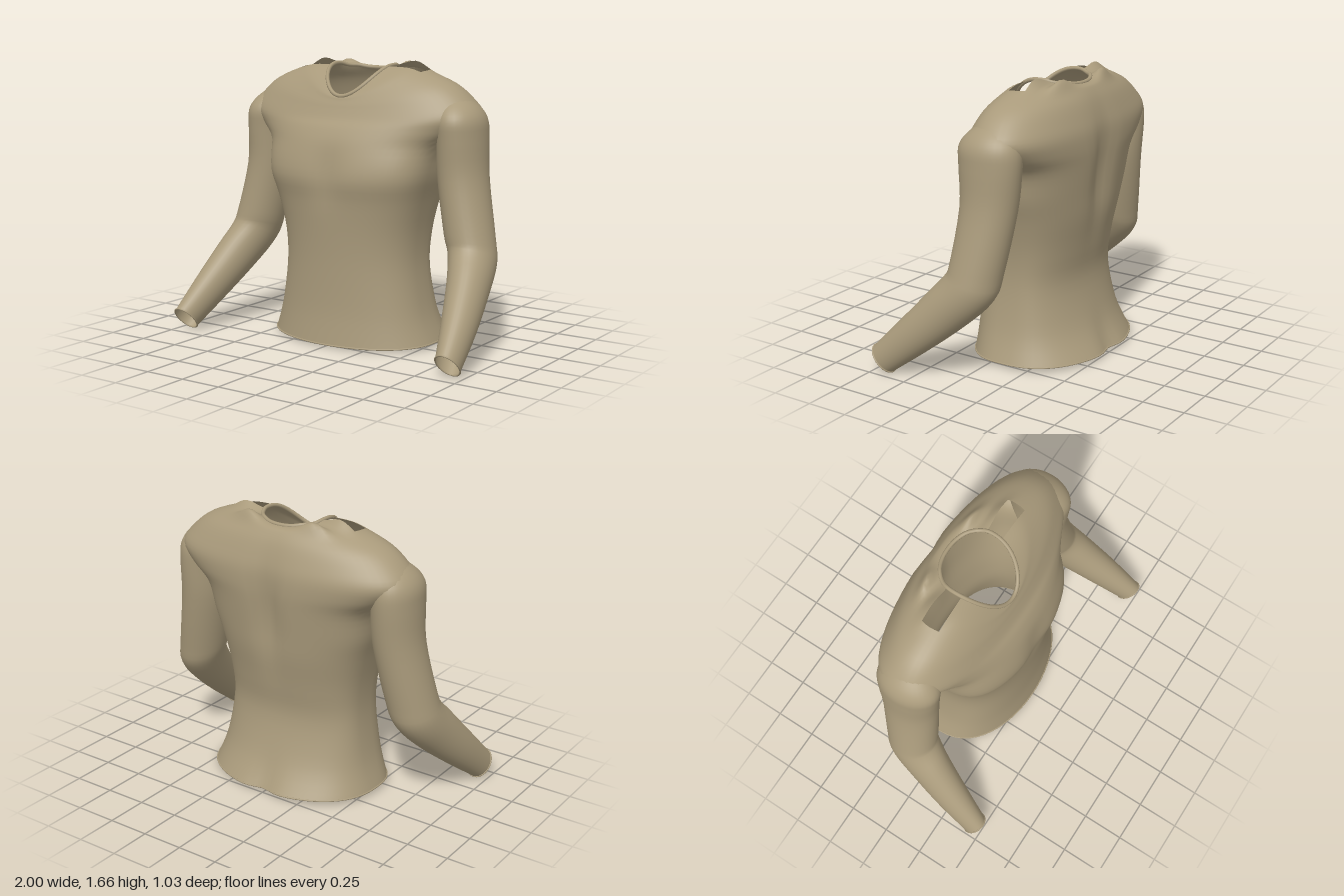
import * as THREE from 'three';

const fabric = new THREE.MeshStandardMaterial({ color: 0xa99a7b, side: THREE.DoubleSide });
fabric.name = 'tan fabric';

const SEG = 64;
const STEPS = 4;
const circle = (n, f) => Array.from({ length: n }, (_, j) => f((j / n) * Math.PI * 2));
const bell = (v, mid, width) => Math.exp(-(((v - mid) / width) ** 2));
const ramp = THREE.MathUtils.smoothstep;

// Catmull-Rom interpolation of every column of a table of sections
function refine(rows, n) {
  const out = [];
  const at = (i) => rows[Math.max(0, Math.min(rows.length - 1, i))];
  for (let i = 0; i < rows.length - 1; i++) {
    for (let k = 0; k < n; k++) {
      const u = k / n;
      out.push(rows[i].map((b, c) => {
        const a = at(i - 1)[c], d = at(i + 1)[c], e = at(i + 2)[c];
        return b + 0.5 * u * (d - a + u * (2 * a - 5 * b + 4 * d - e + u * (3 * (b - d) + e - a)));
      }));
    }
  }
  out.push(rows[rows.length - 1]);
  return out;
}

// Skin over closed loops listed from bottom to top; skip(i, j) leaves holes
function loft(name, loops, skip = () => false) {
  const n = loops[0].length, index = [];
  for (let i = 0; i < loops.length - 1; i++) {
    for (let j = 0; j < n; j++) {
      if (skip(i, j)) continue;
      const a = i * n + j, b = i * n + ((j + 1) % n);
      index.push(a, b, b + n, a, b + n, a + n);
    }
  }
  const g = new THREE.BufferGeometry().setFromPoints(loops.flat());
  g.setIndex(index);
  g.computeVertexNormals();
  const mesh = new THREE.Mesh(g, fabric);
  mesh.name = name;
  return mesh;
}

// Rolled edge along a loop
function rim(name, loop, radius) {
  const curve = new THREE.CatmullRomCurve3(loop, true);
  const mesh = new THREE.Mesh(new THREE.TubeGeometry(curve, 64, radius, 8, true), fabric);
  mesh.name = name;
  return mesh;
}

// Level trunk sections: height, half width, front z, back z
const trunk = [
  [0.028, 0.54, 0.29, -0.525],
  [0.2, 0.48, 0.268, -0.425],
  [0.45, 0.44, 0.262, -0.36],
  [0.65, 0.445, 0.268, -0.382],
  [0.85, 0.485, 0.284, -0.42],
  [1.0, 0.53, 0.305, -0.438],
  [1.17, 0.57, 0.265, -0.458],
  [1.27, 0.69, 0.22, -0.462],
];

// Sagging shoulder sections: side, front and back height, half width, front z, back z
const shoulders = [
  [1.36, 1.325, 1.36, 0.77, 0.18, -0.455],
  [1.455, 1.375, 1.44, 0.71, 0.155, -0.432],
  [1.54, 1.405, 1.52, 0.6, 0.142, -0.4],
  [1.605, 1.43, 1.575, 0.43, 0.13, -0.365],
  [1.628, 1.445, 1.59, 0.33, 0.124, -0.342],
  [1.63, 1.455, 1.6, 0.2, 0.115, -0.31],
];

function torsoLoop([y, yFront, yBack, halfWidth, zFront, zBack]) {
  // Roundness, grooves and shoulder folds follow from the height
  const roundFront = 0.72 - 0.2 * bell(y, 1.02, 0.25) + 0.2 * ramp(y, 1.1, 1.3) + 0.13 * bell(y, 0, 0.15);
  const roundBack = 0.68 + 0.12 * bell(y, 0, 0.3) + 0.25 * ramp(y, 1.2, 1.65);
  const chest = 0.025 * bell(y, 1.02, 0.15);
  const spine = 0.045 * bell(y, 1.12, 0.3) + 0.035 * bell(y, 0, 0.15);
  const fold = ramp(y, 1.5, 1.6) * bell(halfWidth, 0.33, 0.09);
  const sag = 0.014 * bell(y, 0.028, 0.06);
  const zSide = -0.085 - 0.055 * ramp(y, 0.7, 1.3);
  return circle(SEG, (t) => {
    const c = Math.cos(t), m = Math.abs(c), x = halfWidth * Math.sin(t);
    if (c > 0) {
      const z = zSide + (zFront - zSide) * m ** roundFront - chest * bell(x, 0, 0.1);
      return new THREE.Vector3(x, y + (yFront - y) * m * m - sag * m, z);
    }
    const z = zSide + (zBack - zSide) * m ** roundBack + spine * bell(x, 0, 0.08);
    const lift = fold * (0.035 * bell(m, 0.2, 0.15) + 0.05 * bell(m, 0.75, 0.15));
    return new THREE.Vector3(x, y + (yBack - y) * m + lift, z);
  });
}

// Sleeve sections from cuff to shoulder: centre x, y, z, tilt, half width, half depth
const sleeveRows = [
  [0.925, 0.074, 0.447, 0.84, 0.07, 0.092],
  [0.88, 0.25, 0.25, 0.8, 0.1, 0.118],
  [0.83, 0.42, 0.07, 0.73, 0.122, 0.14],
  [0.785, 0.56, -0.06, 0.4, 0.14, 0.157],
  [0.75, 0.68, -0.09, 0.15, 0.146, 0.157],
  [0.685, 1.0, -0.125, 0, 0.142, 0.17],
  [0.675, 1.22, -0.13, 0, 0.138, 0.188],
  [0.667, 1.33, -0.127, 0, 0.138, 0.19],
  [0.65, 1.4, -0.13, 0, 0.118, 0.155],
  [0.62, 1.46, -0.135, 0, 0.08, 0.09],
];

function sleeveLoop([x, y, z, tilt, halfWidth, halfDepth], side) {
  return circle(32, (t) => {
    const d = halfDepth * Math.cos(t);
    return new THREE.Vector3(
      side * x + halfWidth * Math.sin(t), y + d * Math.sin(tilt), z + d * Math.cos(tilt));
  });
}

export function createModel() {
  const shirt = new THREE.Group();
  shirt.name = 'shirt';

  // Body with open hem and neck, and a slit on top of each shoulder
  const rows = [...trunk.map(([y, ...rest]) => [y, y, y, ...rest]), ...shoulders];
  const loops = refine(rows, STEPS).map(torsoLoop);
  const slitStart = (rows.length - 3) * STEPS;
  const nearSide = (j) => [SEG / 4, (3 * SEG) / 4].some((s) => j >= s - 2 && j < s + 2);
  shirt.add(loft('body', loops, (i, j) => i >= slitStart && nearSide(j)));

  // Collar and hem edge
  shirt.add(rim('collar', loops[loops.length - 1], 0.012));
  shirt.add(rim('hem', loops[0], 0.005));

  // Sleeves with rolled cuffs
  for (const side of [1, -1]) {
    const arm = new THREE.Group();
    arm.name = side > 0 ? 'leftSleeve' : 'rightSleeve';
    const sections = refine(sleeveRows, STEPS).map((row) => sleeveLoop(row, side));
    arm.add(loft('sleeve', sections), rim('cuff', sections[0], 0.005));
    shirt.add(arm);
  }
  return shirt;
}
